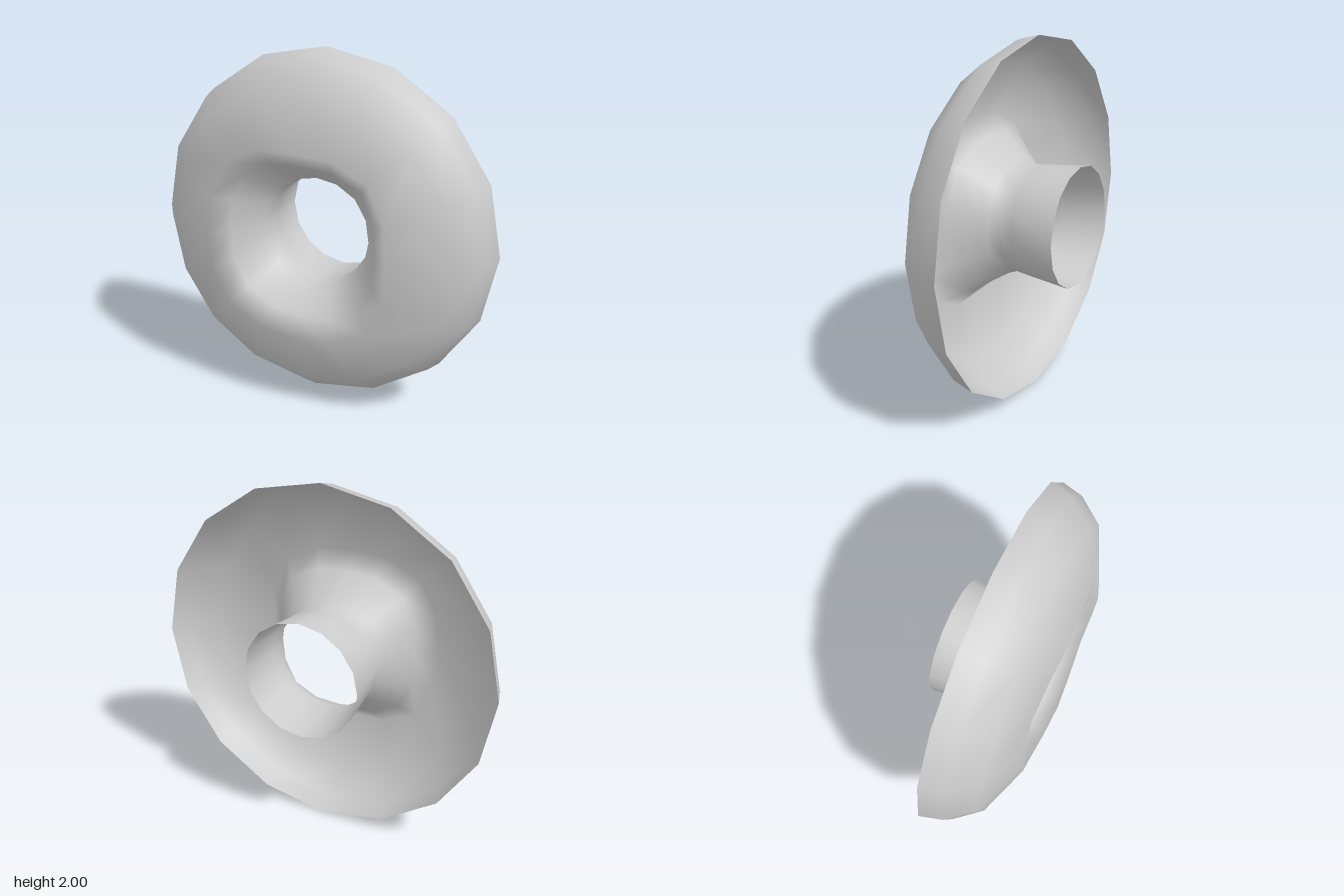
import * as THREE from 'three';
import { mergeVertices } from 'three/addons/utils/BufferGeometryUtils.js';

// Profile of the thin shell: radius, height along the axis, widening towards the diagonals
const PROFILE = [
  [1.0, 0, 0], [0.967, 0.125, 0], [0.852, 0.27, 0],       // outer rim and dome
  [0.525, 0.402, 0.06],                                   // ridge around the funnel
  [0.43, 0.31, 0.05], [0.37, 0.22, 0.03], [0.32, 0.13, 0.01], // squarish funnel
  [0.3, 0.07, 0], [0.308, 0, 0], [0.335, -0.25, 0],       // throat and flared rear tube
];
const SIDES = 16;

function shellGeometry() {
  const geo = new THREE.LatheGeometry(PROFILE.map(([r, h]) => new THREE.Vector2(r, h)), SIDES);
  const pos = geo.attributes.position;
  // Push the funnel rings outwards at the diagonals, following the dome slope at the ridge
  for (let i = 0; i < pos.count; i++) {
    const [r, h, widen] = PROFILE[i % PROFILE.length];
    const a = Math.atan2(pos.getZ(i), pos.getX(i));
    const s = widen * Math.sin(2 * a) ** 2;
    const k = (r + s) / r;
    pos.setXYZ(i, pos.getX(i) * k, h - 0.4 * s, pos.getZ(i) * k);
  }
  // Weld the seam so the shading is smooth all round
  geo.deleteAttribute('uv');
  geo.deleteAttribute('normal');
  const welded = mergeVertices(geo, 1e-4);
  welded.computeVertexNormals();
  return welded;
}

export function createModel() {
  const group = new THREE.Group();
  group.name = 'hollowRing';
  const material = new THREE.MeshStandardMaterial({ color: 0xcccccc, side: THREE.DoubleSide });

  // Stand the ring upright, turned slightly to its left
  const shell = new THREE.Mesh(shellGeometry().rotateX(Math.PI / 2), material);
  shell.name = 'ringShell';
  shell.rotation.y = THREE.MathUtils.degToRad(15.7);
  shell.position.set(0, 1, -0.1);
  group.add(shell);
  return group;
}
